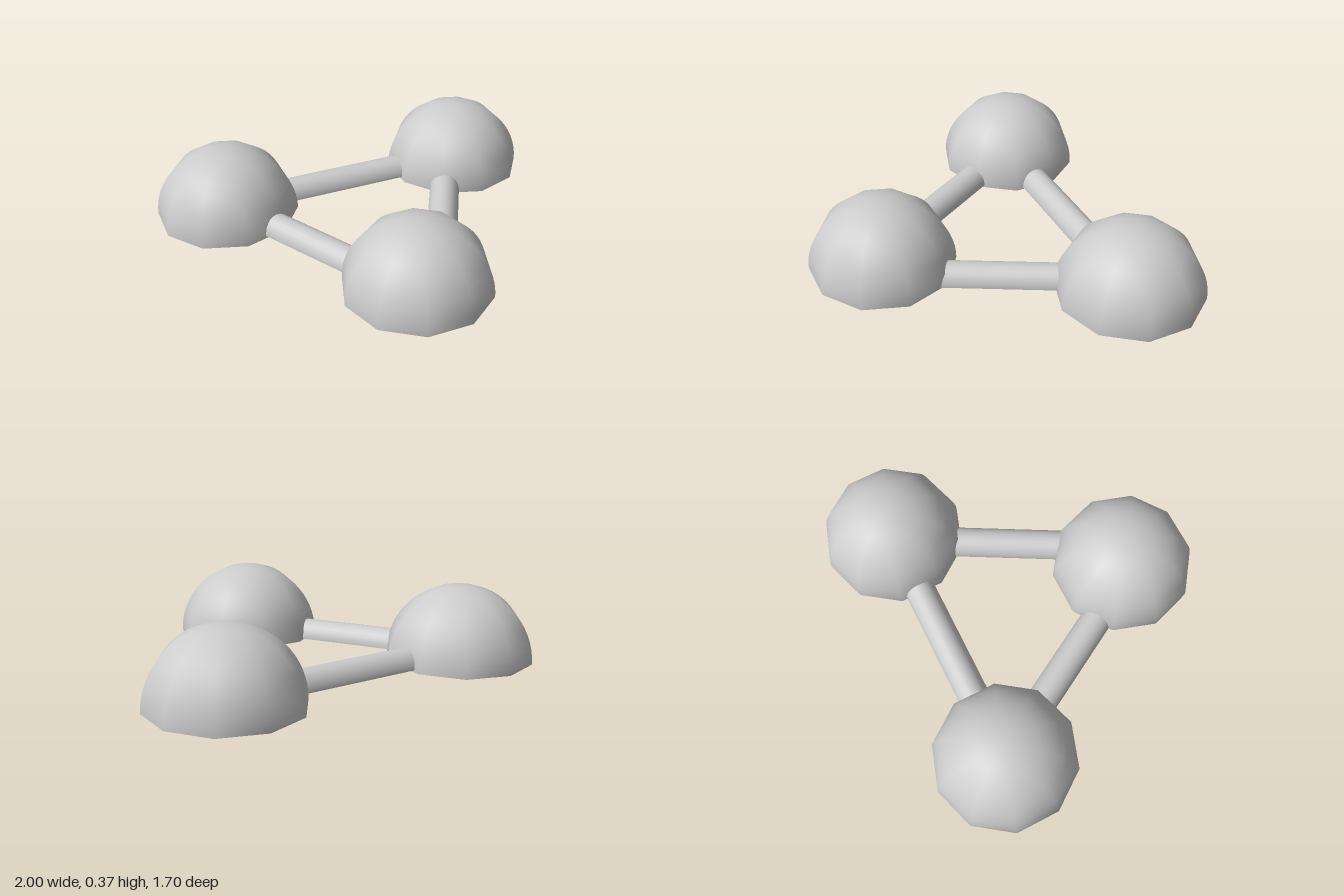
import * as THREE from 'three';

const material = new THREE.MeshStandardMaterial({ color: 0xcccccc, side: THREE.DoubleSide });

// Open ten-sided hemisphere standing on the ground
function dome(name, x, z, turn) {
  const geometry = new THREE.SphereGeometry(0.363, 10, 16, 0, Math.PI * 2, 0, Math.PI / 2);
  const mesh = new THREE.Mesh(geometry, material);
  mesh.name = name;
  mesh.position.set(x, 0, z);
  mesh.rotation.y = turn;
  mesh.scale.y = 1.01;
  return mesh;
}

// Half-round channel, open below, running between two points
function tunnel(name, from, to) {
  const a = new THREE.Vector3(...from);
  const b = new THREE.Vector3(...to);
  const geometry = new THREE.CylinderGeometry(0.078, 0.078, a.distanceTo(b), 12, 1, true, Math.PI / 2, Math.PI);
  geometry.rotateX(Math.PI / 2);
  geometry.scale(1, 1.13, 1);
  const mesh = new THREE.Mesh(geometry, material);
  mesh.name = name;
  mesh.position.copy(a).add(b).multiplyScalar(0.5);
  mesh.lookAt(b);
  return mesh;
}

export function createModel() {
  const model = new THREE.Group();
  model.name = 'linkedDomes';

  // Domes
  model.add(
    dome('frontDome', -0.03, 0.5, 0),
    dome('backRightDome', -0.655, -0.49, Math.PI / 2),
    dome('backLeftDome', 0.655, -0.49, Math.PI / 2)
  );

  // Connecting tunnels, the side ones sloping down to the front
  model.add(
    tunnel('backTunnel', [-0.32, 0.012, -0.495], [0.315, 0.012, -0.495]),
    tunnel('leftTunnel', [0.203, 0.002, 0.281], [0.475, 0.015, -0.22]),
    tunnel('rightTunnel', [-0.236, 0.003, 0.238], [-0.489, 0.013, -0.205])
  );
  return model;
}
